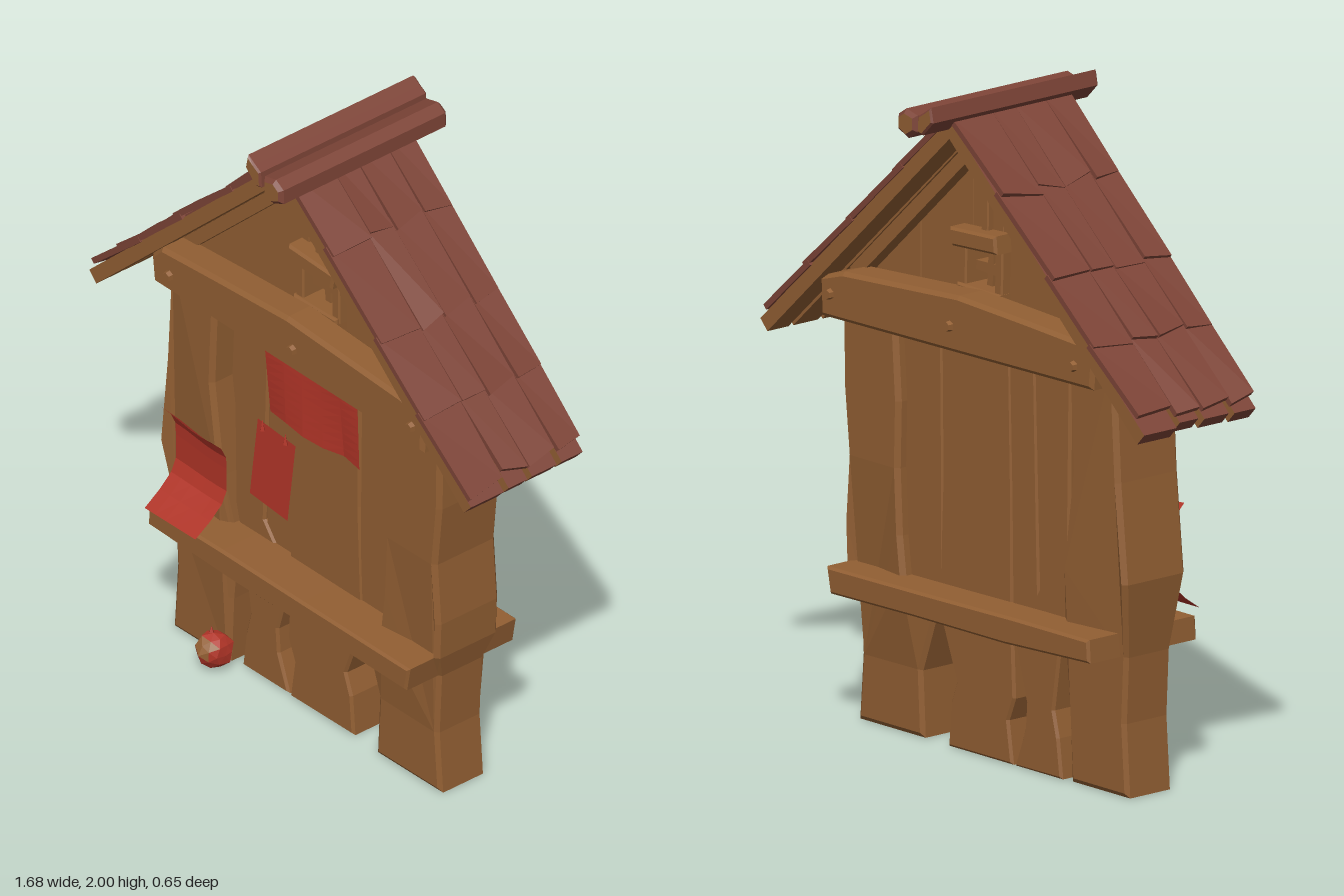
import * as THREE from 'three';

const mat = (name, color) => Object.assign(new THREE.MeshStandardMaterial({ color, flatShading: true }), { name });

export function createModel() {
  const wood = mat('wood', 0x925f33);
  const red = mat('roofWood', 0x7d4437);
  const paper = mat('paper', 0xb03427);
  paper.side = THREE.DoubleSide;

  const model = new THREE.Group();
  model.name = 'noticeBoard';
  let seed = 7;
  const rnd = (a) => {
    seed = (seed * 16807) % 2147483647;
    return (seed / 2147483647 - 0.5) * 2 * a;
  };
  const add = (name, geo, material, parent = model) => {
    const m = new THREE.Mesh(geo, material);
    m.name = name;
    parent.add(m);
    return m;
  };

  // Bevelled slab cut from an outline in x, y
  const slab = (pts, z0, z1, b = 0.008) => {
    const shape = new THREE.Shape(pts.map(([x, y]) => new THREE.Vector2(x, y)));
    const g = new THREE.ExtrudeGeometry(shape, {
      depth: z1 - z0 - 2 * b, bevelEnabled: b > 0, bevelThickness: b,
      bevelSize: b, bevelOffset: -b, bevelSegments: 1,
    });
    return g.translate(0, 0, z0 + b);
  };
  // Upright plank from rows of [y, left x, right x]
  const plank = (rows, z0, z1, b) => slab([
    ...rows.map(([y, , x1]) => [x1, y]),
    ...[...rows].reverse().map(([y, x0]) => [x0, y]),
  ], z0, z1, b);
  // Box whose corners are moved by a rule
  const warpBox = (w, h, d, rule) => {
    const g = new THREE.BoxGeometry(w, h, d).toNonIndexed();
    const p = g.attributes.position, v = new THREE.Vector3();
    for (let i = 0; i < p.count; i++) {
      rule(v.fromBufferAttribute(p, i));
      p.setXYZ(i, v.x, v.y, v.z);
    }
    g.computeVertexNormals();
    return g;
  };

  // Outer posts, slimmer below the lower rail
  const posts = {
    rightPost: [[0, -0.605, -0.355], [0.22, -0.59, -0.345], [0.42, -0.6, -0.325], [0.65, -0.635, -0.36], [0.95, -0.605, -0.4], [1.3, -0.585, -0.385]],
    leftPost: [[0, 0.285, 0.57], [0.2, 0.295, 0.555], [0.4, 0.225, 0.565], [0.48, 0.33, 0.585], [0.6, 0.345, 0.59], [0.8, 0.355, 0.575], [1.0, 0.35, 0.595], [1.3, 0.37, 0.6]],
  };
  for (const [name, rows] of Object.entries(posts)) {
    const g = plank(rows, -0.11, 0.13, 0.014);
    const p = g.attributes.position;
    for (let i = 0; i < p.count; i++) {
      if (p.getY(i) < 0.45) p.setZ(i, p.getZ(i) * 0.72 + 0.008);
    }
    g.computeVertexNormals();
    add(name, g, wood);
  }

  // Inner wall planks
  [
    [[[0, -0.32, -0.115], [0.12, -0.305, -0.158], [0.2, -0.285, -0.164], [0.4, -0.315, -0.106], [0.55, -0.35, -0.22], [1.22, -0.36, -0.2]], 0.085],
    [[[0.42, -0.225, -0.105], [0.8, -0.215, -0.1], [1.2, -0.205, -0.09]], 0.078],
    [[[0, -0.106, 0.175], [0.13, -0.087, 0.165], [0.2, -0.115, 0.14], [0.4, -0.106, 0.215], [0.8, -0.105, 0.2], [1.27, -0.095, 0.205]], 0.09],
    [[[0.41, 0.195, 0.36], [0.8, 0.195, 0.37], [1.23, 0.2, 0.39]], 0.085],
  ].forEach(([rows, z]) => add('wallPlank', plank(rows, -0.075, z), wood));
  add('wallBacking', plank([[0.45, -0.4, 0.4], [1.3, -0.4, 0.4]], -0.05, 0.05, 0), wood);

  // Crossbeams, rails and bolts on the front and back
  const beam = [[-0.585, 1.24], [-0.2, 1.235], [0.2, 1.23], [0.595, 1.225], [0.6, 1.345], [0.5, 1.375],
    [0.25, 1.39], [0, 1.405], [-0.3, 1.39], [-0.55, 1.375], [-0.595, 1.33]];
  const rail = [[-0.575, 0.42], [-0.2, 0.405], [0.2, 0.405], [0.555, 0.4], [0.57, 0.48], [0.1, 0.485], [-0.25, 0.49], [-0.57, 0.49]];
  for (const s of [1, -1]) {
    const [b0, b1] = s > 0 ? [0.09, 0.195] : [-0.195, -0.08];
    const [r0, r1] = s > 0 ? [0.07, 0.225] : [-0.195, -0.05];
    add('crossbeam', slab(beam, b0, b1, 0.012), wood);
    add('lowerRail', slab(rail, r0, r1), wood);
    for (const [x, y] of [[-0.51, 1.3], [0.03, 1.31], [0.55, 1.3]]) {
      const bolt = add('bolt', new THREE.CylinderGeometry(0.014, 0.018, 0.02, 6), wood);
      bolt.rotation.x = s * Math.PI / 2;
      bolt.position.set(x, y, s * 0.2);
    }
  }

  // Gable planks under the roof line, leaving the window open
  const roofLine = (x) => 1.89 - 0.9 * Math.abs(x);
  [[-0.57, -0.3], [-0.3, -0.05], [-0.05, 0.015, 1.53], [0.015, 0.08, 1.53], [0.08, 0.31], [0.31, 0.57]]
    .forEach(([a, b, y = 1.28], i) => {
      const top = a < 0 && b > 0 ? [[b, roofLine(b)], [0, roofLine(0)]] : [[b, roofLine(b)]];
      add('gablePlank', slab([[a, y], [b, y], ...top, [a, roofLine(a)]], -0.058, 0.058 + (i % 2) * 0.005, 0.002), wood);
    });
  add('gableBatten', plank([[1.57, -0.005, 0.025], [1.86, -0.012, 0.012]], -0.08, 0.08, 0.004), wood);

  // Window frame and bars
  const frame = new THREE.Group();
  frame.name = 'window';
  model.add(frame);
  add('windowHeader', slab([[-0.085, 1.53], [0.11, 1.52], [0.12, 1.575], [-0.08, 1.585]], -0.12, 0.12), wood, frame);
  add('windowSill', slab([[-0.08, 1.36], [0.11, 1.36], [0.11, 1.408], [-0.08, 1.405]], -0.1, 0.1, 0.006), wood, frame);
  for (const x of [-0.062, 0.095]) {
    add('windowJamb', plank([[1.39, x - 0.016, x + 0.018], [1.54, x - 0.018, x + 0.016]], -0.09, 0.09, 0.005), wood, frame);
  }
  add('windowBar', plank([[1.39, 0.008, 0.032], [1.54, 0.0, 0.022]], -0.05, 0.05, 0), wood, frame);
  add('windowBar', slab([[-0.06, 1.438], [0.09, 1.445], [0.09, 1.472], [-0.06, 1.476]], -0.05, 0.05, 0), wood, frame);

  // Roof halves: local x runs down the slope, local y points out of it
  const zEdges = [-0.225, -0.125, -0.01, 0.08, 0.23];
  const rowEnds = [0.3, 0.6, 0.85, 1.095];
  const boardFaces = [red, wood, red, wood, wood, wood];
  for (const side of [0, Math.PI]) {
    const half = new THREE.Group();
    half.name = side ? 'roofRight' : 'roofLeft';
    half.rotation.y = side;
    model.add(half);
    const slope = new THREE.Group();
    slope.position.set(0.005, 1.94, 0);
    slope.rotation.z = -Math.atan2(0.77, 0.83);
    half.add(slope);
    add('roofUnderlay', new THREE.BoxGeometry(0.84, 0.01, 0.42).translate(0.42, 0, 0), red, slope);
    for (let c = 0; c < 4; c++) {
      const z0 = zEdges[c], z1 = zEdges[c + 1], w = z1 - z0, zc = (z0 + z1) / 2;
      const slip = rnd(0.008);
      add('roofBoard', warpBox(1.15, 0.045, w - 0.01, (v) => { if (v.x > 0) { v.z *= 0.9; v.x += slip; } })
        .translate(0.56, -0.0225, zc), boardFaces, slope);
      rowEnds.forEach((end, r) => {
        const start = (r ? rowEnds[r - 1] : 0.03) - 0.03, len = end - start + rnd(0.012);
        const lift = 0.016 + rnd(0.005), skew = rnd(0.014), pinch = r === 3 ? 0.9 : 0.95, slant = rnd(0.006);
        add('shingle', warpBox(len, 0.018, w, (v) => {
          v.y += v.x > 0 ? lift + Math.sign(v.z) * slant : 0.006;
          if (v.x > 0) { v.x += Math.sign(v.z) * skew; v.z *= pinch; }
        }).translate(start + len / 2, 0, zc), red, slope);
      });
    }
    for (const z of [-0.085, 0.085]) {
      add('innerRafter', new THREE.BoxGeometry(0.78, 0.05, 0.05).translate(0.41, -0.06, z), wood, slope);
    }
  }

  // Ridge caps: a tilted board and a rough log, with bare wood ends
  add('ridgeBoard', slab([[-0.045, 1.955], [0, 1.91], [0.024, 1.915], [0.02, 1.965], [-0.005, 1.98], [-0.035, 2]], -0.33, 0.315, 0.006), [wood, red]);
  add('ridgeLog', slab([[0.035, 1.91], [0.075, 1.885], [0.12, 1.905], [0.118, 1.95], [0.085, 1.972], [0.036, 1.96]], -0.325, 0.32, 0.012), [wood, red]);

  // Pinned papers, bent by a rule over u, t from 0 to 1
  const sheet = (name, x0, x1, y0, y1, bend) => {
    const g = new THREE.PlaneGeometry(1, 1, 5, 8).toNonIndexed();
    const p = g.attributes.position;
    for (let i = 0; i < p.count; i++) {
      const u = p.getX(i) + 0.5, t = p.getY(i) + 0.5, [dx, dy, z] = bend(u, t);
      p.setXYZ(i, x0 + u * (x1 - x0) + dx, y0 + t * (y1 - y0) + dy, z);
    }
    g.computeVertexNormals();
    add(name, g, paper);
  };
  sheet('widePaper', -0.18, 0.225, 0.962, 1.168, (u, t) =>
    [0.012 * (1 - t) - 0.012 * t, 0.007 * Math.sin(u * 9) * (t > 0.5 ? 1 : 0.7), 0.108 + 0.018 * (1 - t) * Math.abs(Math.sin(u * 4))]);
  sheet('smallPaper', -0.25, -0.085, 0.632, 0.892, (u, t) =>
    [0.018 * t, 0.016 * (1 - u) - 0.006, 0.1 + 0.015 * (1 - t)]);
  sheet('curledPaper', -0.55, -0.328, 0.503, 0.818, (u, t) =>
    [0, 0.01 * Math.cos(u * 4) * t, 0.136 + 0.12 * Math.max(0, (0.35 - t) / 0.35) ** 1.5 + 0.06 * Math.max(0, (t - 0.7) / 0.3) ** 2]);
  for (const x of [-0.2, -0.1]) {
    add('pin', new THREE.ConeGeometry(0.008, 0.04, 4).translate(x, 0.9, 0.11), paper);
  }

  // Crumpled paper ball with one bare patch
  const ball = new THREE.IcosahedronGeometry(0.056, 1);
  const bp = ball.attributes.position, v = new THREE.Vector3();
  for (let i = 0; i < bp.count; i++) {
    v.fromBufferAttribute(bp, i);
    v.multiplyScalar(1 + 0.1 * Math.sin(v.x * 97 + v.y * 61 + v.z * 43));
    bp.setXYZ(i, v.x, v.y, v.z);
  }
  ball.computeVertexNormals();
  const patch = new THREE.Vector3(0.1, 0.25, 0.96);
  for (let i = 0; i < bp.count; i += 3) {
    v.fromBufferAttribute(ball.attributes.normal, i);
    ball.addGroup(i, 3, v.dot(patch) > 0.84 ? 1 : 0);
  }
  add('paperBall', ball, [paper, wood]).position.set(-0.362, 0.066, 0.155);
  add('paperBallTip', new THREE.ConeGeometry(0.014, 0.035, 4).translate(-0.372, 0.122, 0.155), paper);

  return model;
}
